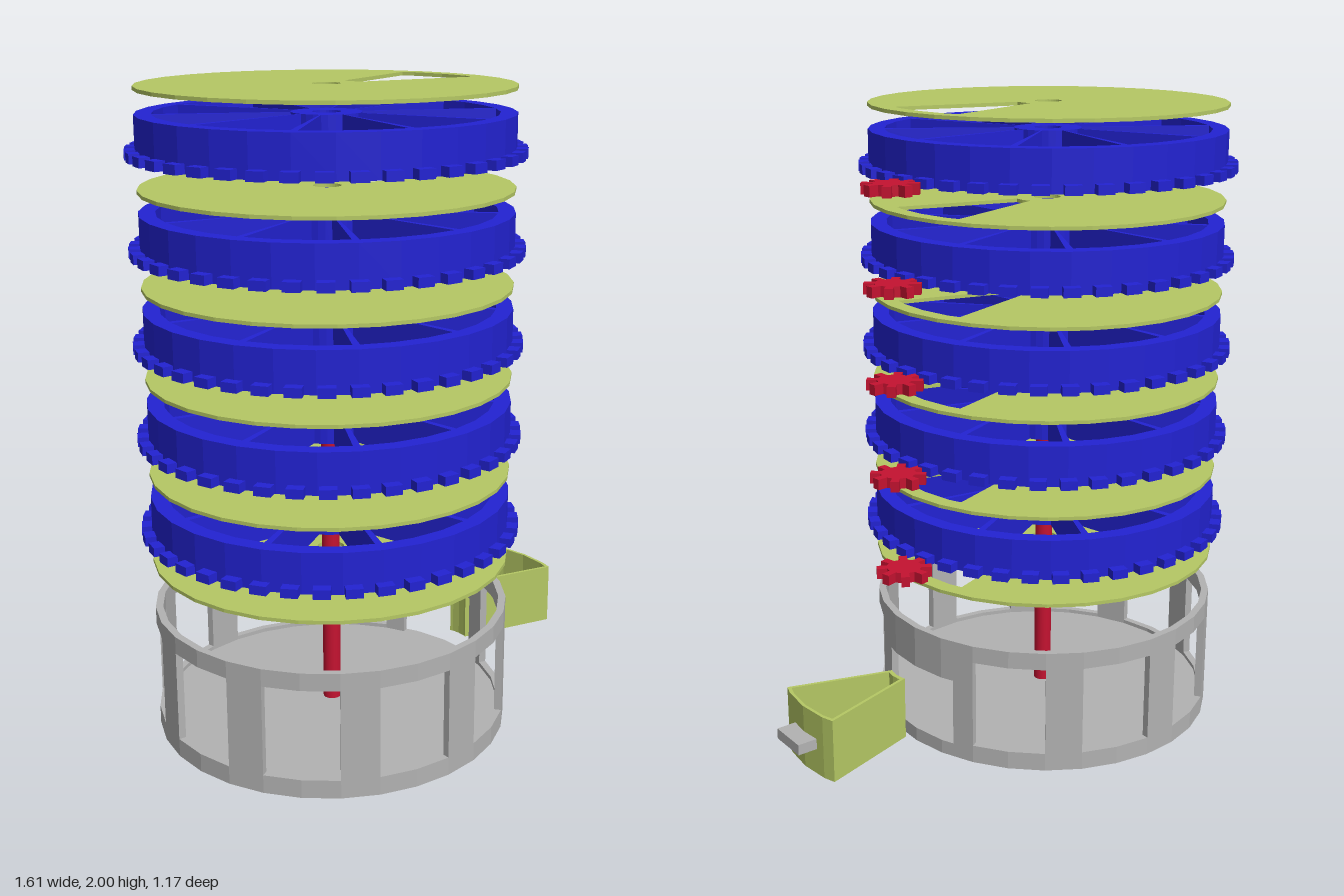
import * as THREE from 'three';

const RAD = Math.PI / 180;
const STEP = 12; // round parts are 30-sided
const AXIS_X = -0.22;

const green = new THREE.MeshStandardMaterial({ color: 0xb5c864 });
green.name = 'yellow green';
const blue = new THREE.MeshStandardMaterial({ color: 0x2222d2 });
blue.name = 'blue';
const red = new THREE.MeshStandardMaterial({ color: 0xc41230 });
red.name = 'red';
const grey = new THREE.MeshStandardMaterial({ color: 0xb2b2b2 });
grey.name = 'grey';

// Points along a 30-sided arc between two angles in degrees
function arc(r, a0, a1, dx = 0) {
  const angles = [a0];
  for (let a = (Math.floor(a0 / STEP + 1e-6) + 1) * STEP; a < a1 - 1e-6; a += STEP) angles.push(a);
  angles.push(a1);
  return angles.map((a) => {
    const off = (((a % STEP) + STEP) % STEP) - STEP / 2;
    const q = r * Math.cos((STEP / 2) * RAD) / Math.cos(off * RAD);
    return new THREE.Vector2(dx + q * Math.cos(a * RAD), q * Math.sin(a * RAD));
  });
}

// Outline of a ring sector
const sector = (r0, r1, a0, a1, dx = 0) => [...arc(r1, a0, a1, dx), ...arc(r0, a0, a1, dx).reverse()];
const circle = (r) => arc(r, 0, 360).slice(0, -1);

// Plan outline with holes, raised from y0 to y1
function slab(name, outline, holes, y0, y1, material) {
  const shape = new THREE.Shape(outline);
  holes.forEach((h) => shape.holes.push(new THREE.Path(h)));
  const geo = new THREE.ExtrudeGeometry(shape, { depth: y1 - y0, bevelEnabled: false });
  geo.rotateX(-Math.PI / 2).translate(0, y0, 0);
  const mesh = new THREE.Mesh(geo, material);
  mesh.name = name;
  return mesh;
}

// Drum base: floor plus a wall pierced by ten windows, the one at +x for the drawer
function makeBase() {
  const g = new THREE.Group();
  g.name = 'base';
  const R = 0.555, r = 0.532;
  g.add(slab('baseFloor', circle(R), [], 0, 0.045, grey));
  for (let k = 0; k < 10; k++) {
    const mid = k * 36;
    const half = k === 0 ? 16.5 : 12;
    const [sill, head] = k === 0 ? [0.045, 0.265] : [0.058, 0.345];
    const nextHalf = k === 9 ? 16.5 : 12;
    if (k > 0) g.add(slab('windowSill', sector(r, R, mid - half, mid + half), [], 0.045, sill, grey));
    g.add(slab('windowHead', sector(r, R, mid - half, mid + half), [], head, 0.4, grey));
    g.add(slab('wallPillar', sector(r, R, mid + half, mid + 36 - nextHalf), [], 0.045, 0.4, grey));
  }
  return g;
}

// Divider plate with a shaft hole and one wedge opening
const makePlate = (y) =>
  slab('dividerPlate', circle(0.555), [circle(0.042), sector(0.105, 0.505, -16.8, 16.8)], y - 0.0055, y + 0.0055, green);

// Wheel with ten wedge pockets and a toothed rim at the bottom
function makeWheel(y, turn) {
  const g = new THREE.Group();
  g.name = 'pocketWheel';
  const holes = [circle(0.042)];
  for (let k = 0; k < 10; k++) holes.push(sector(0.105, 0.505, k * 36 + 1.2, k * 36 + 34.8));
  g.add(slab('wheelBody', circle(0.555), holes, 0, 0.125, blue));
  for (let k = 0; k < 40; k++) {
    const tooth = new THREE.Mesh(new THREE.BoxGeometry(0.045, 0.028, 0.05), blue);
    const a = k * 9 * RAD;
    tooth.position.set(0.5635 * Math.cos(a), 0.014, 0.5635 * Math.sin(a));
    tooth.rotation.y = -a;
    tooth.name = 'wheelTooth';
    g.add(tooth);
  }
  g.position.y = y;
  g.rotation.y = turn * RAD;
  return g;
}

// Small drive gear beside each wheel
function makePinion(y, z, turn) {
  const pts = [];
  for (let k = 0; k < 8; k++) {
    [[-13, 0.053], [-9, 0.084], [9, 0.084], [13, 0.053]].forEach(([d, r]) => {
      const a = (k * 45 + d) * RAD;
      pts.push(new THREE.Vector2(r * Math.cos(a), r * Math.sin(a)));
    });
  }
  const gear = slab('driveGear', pts, [], 0, 0.032, red);
  gear.position.set(0.44, y, z);
  gear.rotation.y = turn * RAD;
  return gear;
}

// Open wedge drawer with a pull tab
function makeDrawer() {
  const g = new THREE.Group();
  g.name = 'drawer';
  const outline = sector(0.125, 0.465, -17, 17);
  g.add(slab('drawerFloor', outline, [], 0.05, 0.06, green));
  g.add(slab('drawerWalls', outline, [sector(0.105, 0.421, -17, 17, 0.034)], 0.06, 0.255, green));
  const tab = new THREE.Mesh(new THREE.BoxGeometry(0.065, 0.034, 0.128), grey);
  tab.position.set(0.489, 0.152, 0);
  tab.name = 'drawerHandle';
  g.add(tab);
  g.position.set(0.28, 0, -0.003);
  g.rotation.y = -4.2 * RAD;
  return g;
}

export function createModel() {
  const model = new THREE.Group();
  model.name = 'rotaryDispenser';

  const tower = new THREE.Group();
  tower.name = 'tower';
  tower.position.x = AXIS_X;
  tower.add(makeBase());

  const shaft = new THREE.Mesh(new THREE.CylinderGeometry(0.028, 0.028, 1.398, 24), red);
  shaft.position.y = 0.739;
  shaft.name = 'shaft';
  tower.add(shaft);

  [0.559, 0.838, 1.135, 1.413, 1.7, 1.9945].forEach((y) => tower.add(makePlate(y)));

  // Wheel height, wheel turn, gear z, gear turn
  const wheels = [
    [0.644, -11, -0.09, 10],
    [0.938, 18, -0.07, 0],
    [1.224, 18, -0.063, 0],
    [1.51, 18, -0.061, 0],
    [1.795, 0, -0.061, 0],
  ];
  wheels.forEach(([y, turn, z, gearTurn]) => {
    tower.add(makeWheel(y, turn));
    model.add(makePinion(y - 0.01, z, gearTurn));
  });

  model.add(tower, makeDrawer());
  return model;
}
